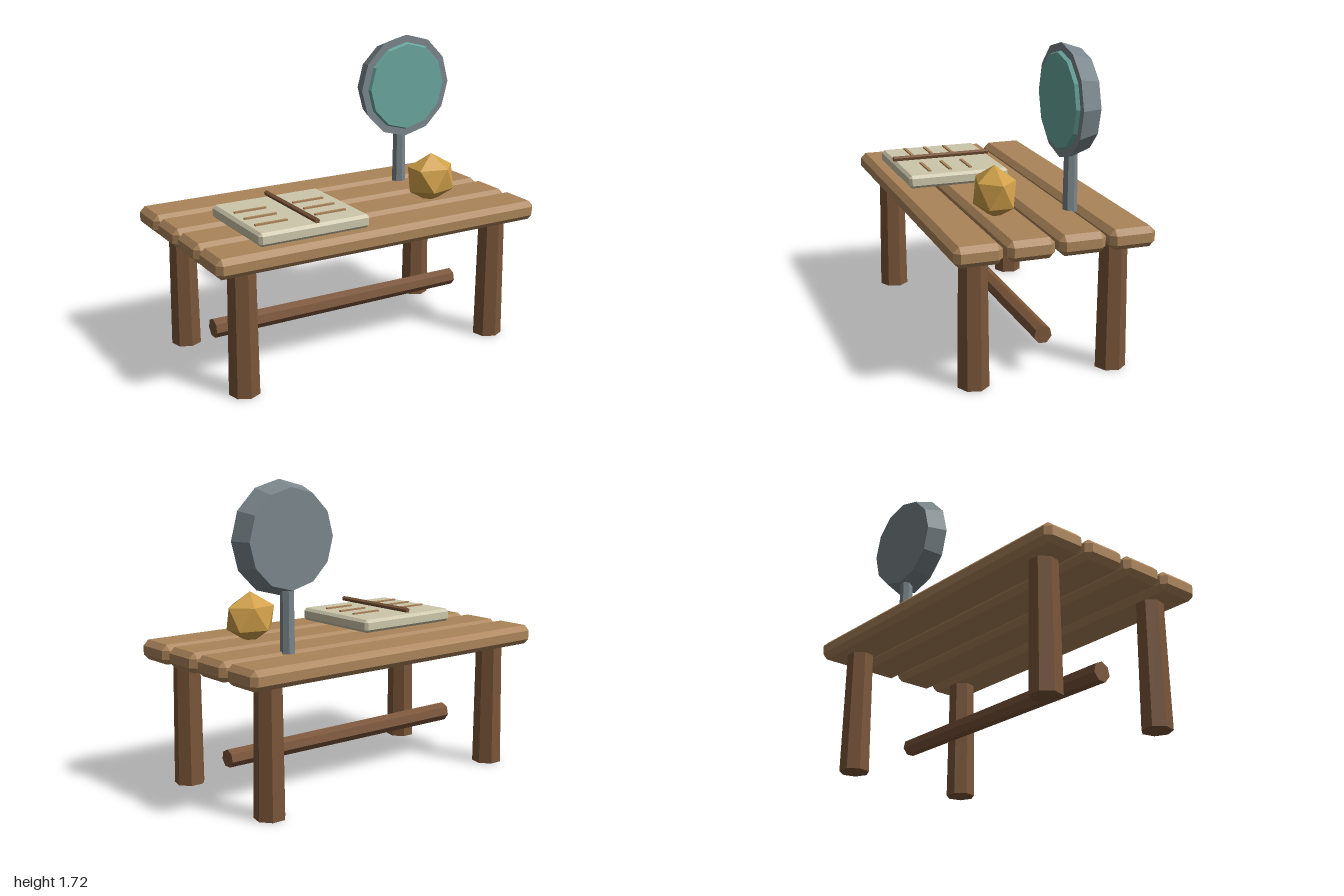
import * as THREE from 'three';
import { ConvexGeometry } from 'three/addons/geometries/ConvexGeometry.js';

const mat = (name, color, flat = true) => {
  const m = new THREE.MeshStandardMaterial({ color, flatShading: flat });
  m.name = name;
  return m;
};

// Box with every edge and corner cut off by c
function chamferBox(w, h, d, c) {
  const pts = [];
  for (const sx of [-1, 1]) for (const sy of [-1, 1]) for (const sz of [-1, 1]) {
    for (let axis = 0; axis < 3; axis++) {
      const p = [w / 2, h / 2, d / 2].map((v, i) => (i === axis ? v : v - c));
      pts.push(new THREE.Vector3(p[0] * sx, p[1] * sy, p[2] * sz));
    }
  }
  return new ConvexGeometry(pts);
}

export function createModel() {
  const model = new THREE.Group();
  model.name = 'workTable';

  const plankWood = mat('plankWood', 0xab845a);
  const darkWood = mat('darkWood', 0x7a5539);
  const paper = mat('paper', 0xcdc7ab);
  const metal = mat('metal', 0x7a868b);
  const glass = mat('glass', 0x69a79e);
  const gold = mat('gold', 0xd0a04a);

  const add = (name, geometry, material, x, y, z) => {
    const mesh = new THREE.Mesh(geometry, material);
    mesh.name = name;
    mesh.position.set(x, y, z);
    model.add(mesh);
    return mesh;
  };

  // Table top: four separate planks
  const plank = chamferBox(2, 0.11, 0.254, 0.03);
  for (const z of [-0.412, -0.1375, 0.1375, 0.412]) add('plank', plank, plankWood, 0, 0.765, z);

  // Tapered seven-sided legs
  const leg = new THREE.CylinderGeometry(0.076, 0.085, 0.73, 7);
  for (const x of [-0.8, 0.8]) for (const z of [-0.385, 0.385]) add('leg', leg, darkWood, x, 0.365, z);

  // Long stretcher under the top
  const stretcher = new THREE.CylinderGeometry(0.055, 0.05, 1.6, 7);
  stretcher.rotateX(-Math.PI / 2).rotateY(Math.PI / 2);
  add('stretcher', stretcher, darkWood, 0, 0.225, 0);

  // Open book with a spine rod and raised lines
  add('book', chamferBox(0.66, 0.074, 0.59, 0.016), paper, -0.4, 0.857, 0.17);
  const spine = new THREE.CylinderGeometry(0.015, 0.015, 0.585, 5);
  spine.rotateX(-Math.PI / 2);
  add('bookSpine', spine, darkWood, -0.4, 0.916, 0.182);
  const line = new THREE.BoxGeometry(0.19, 0.009, 0.017);
  for (const x of [-0.595, -0.24]) for (const z of [0.08, 0.203, 0.326]) {
    add('pageLine', line, plankWood, x, 0.898, z);
  }

  // Faceted golden stone, sunk slightly into the planks
  const stone = new THREE.IcosahedronGeometry(0.15, 0);
  stone.rotateZ(-0.55).scale(1.06, 0.97, 0.82);
  add('goldenStone', stone, gold, 0.52, 0.94, 0.17);

  // Standing mirror: post, tapered frame and glass
  add('mirrorPost', new THREE.CylinderGeometry(0.036, 0.041, 0.4, 7), metal, 0.567, 1.01, -0.237);
  const frame = new THREE.CylinderGeometry(0.303, 0.266, 0.111, 12);
  frame.rotateX(Math.PI / 2);
  add('mirrorFrame', frame, metal, 0.568, 1.412, -0.23);
  const pane = new THREE.CylinderGeometry(0.252, 0.261, 0.02, 12);
  pane.rotateX(Math.PI / 2);
  add('mirrorGlass', pane, glass, 0.568, 1.412, -0.165);

  return model;
}
